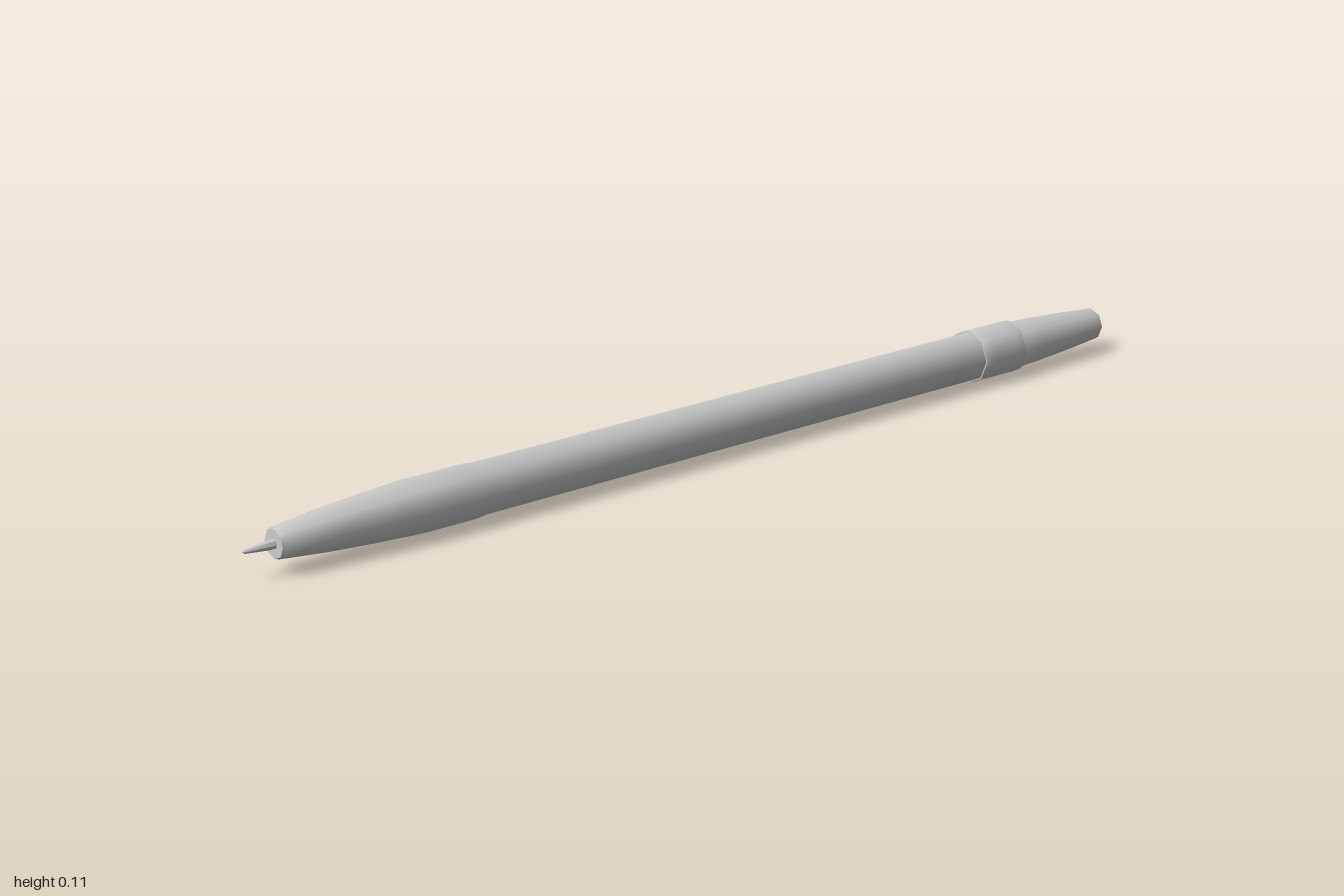
import * as THREE from 'three';
import { toCreasedNormals } from 'three/addons/utils/BufferGeometryUtils.js';

const SIDES = 8;
const AXIS_HEIGHT = 0.0535;

export function createModel() {
  const pen = new THREE.Group();
  pen.name = 'pen';
  const material = new THREE.MeshStandardMaterial({ color: 0xcccccc });

  // Turns a profile of [x, radius] pairs around the pen's long axis
  function turned(name, profile) {
    const points = profile.map(([x, r]) => new THREE.Vector2(r, x));
    const lathe = new THREE.LatheGeometry(points, SIDES).rotateZ(-Math.PI / 2);
    const mesh = new THREE.Mesh(toCreasedNormals(lathe, 0.9), material);
    mesh.name = name;
    mesh.position.y = AXIS_HEIGHT;
    pen.add(mesh);
  }

  // Writing point
  turned('tip', [[-1, 0], [-0.995, 0.004], [-0.95, 0.009], [-0.93, 0.009]]);

  // Tapered grip with a slight swelling, running into the straight barrel
  turned('barrel', [
    [-0.94, 0], [-0.94, 0.026], [-0.93, 0.029], [-0.84, 0.039], [-0.75, 0.046],
    [-0.66, 0.0515], [-0.56, 0.0515], [-0.54, 0.049], [0.66, 0.049],
  ]);

  // Raised collar where the end cap meets the barrel
  turned('collar', [
    [0.65, 0.047], [0.65, 0.0515], [0.67, 0.0535], [0.74, 0.0535], [0.76, 0.052], [0.76, 0.046],
  ]);

  // Tapered end cap, closed flat
  turned('endCap', [[0.75, 0.049], [0.82, 0.046], [0.91, 0.040], [0.99, 0.033], [1, 0.031], [1, 0]]);

  return pen;
}
